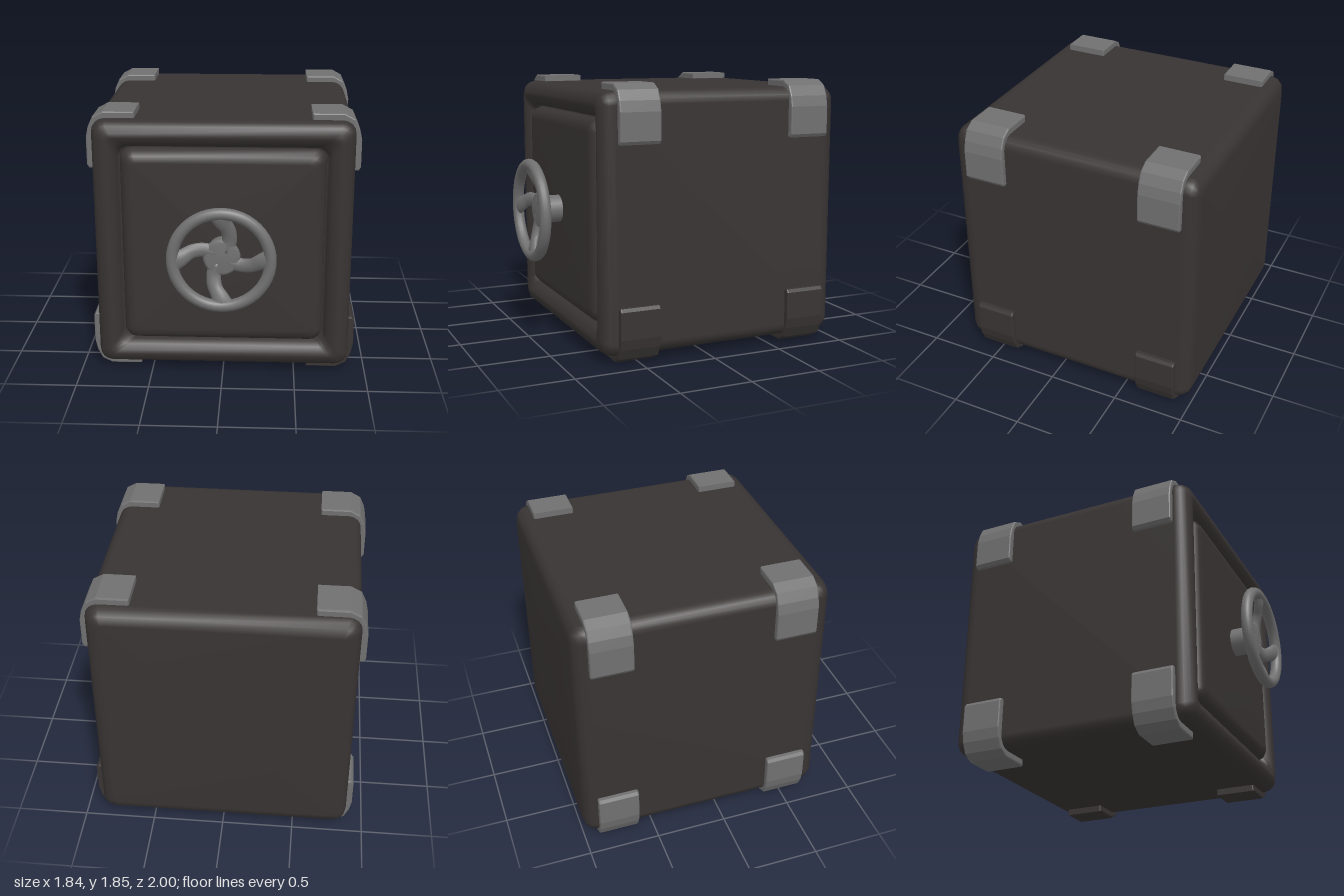
import * as THREE from 'three';

const DARK = 0x393434, METAL = 0x707070;
const CY = 0.925; // height of the safe's centre

const material = (color) => new THREE.MeshStandardMaterial({ color, roughness: 0.7 });

function addMesh(parent, name, geometry, mat) {
  const mesh = new THREE.Mesh(geometry, mat);
  mesh.name = name;
  parent.add(mesh);
  return mesh;
}

// Skin equal-length rings of Vector3, closing both ends with a centre point
function loft(rings) {
  const n = rings[0].length, pos = [], idx = [];
  rings.forEach((ring) => ring.forEach((p) => pos.push(p.x, p.y, p.z)));
  for (let i = 0; i < rings.length - 1; i++) {
    for (let j = 0; j < n; j++) {
      const a = i * n + j, b = i * n + (j + 1) % n;
      idx.push(a, b, b + n, a, b + n, a + n);
    }
  }
  [rings[0], rings[rings.length - 1]].forEach((ring, end) => {
    const c = ring.reduce((s, p) => s.add(p), new THREE.Vector3()).divideScalar(n);
    const ci = pos.length / 3, base = end * (rings.length - 1) * n;
    pos.push(c.x, c.y, c.z);
    for (let j = 0; j < n; j++) {
      const a = base + j, b = base + (j + 1) % n;
      idx.push(...(end ? [ci, a, b] : [ci, b, a]));
    }
  });
  const geo = new THREE.BufferGeometry();
  geo.setAttribute('position', new THREE.Float32BufferAttribute(pos, 3));
  geo.setIndex(idx);
  geo.computeVertexNormals();
  return geo;
}

// Rounded square ring facing z, counter-clockwise from the front
function squareRing(half, r, z, steps = 4) {
  const ring = [];
  for (let c = 0; c < 4; c++) {
    const mid = (c + 0.5) * Math.PI / 2;
    const cx = Math.sign(Math.cos(mid)) * (half - r), cy = Math.sign(Math.sin(mid)) * (half - r);
    for (let s = 0; s <= steps; s++) {
      const a = (c + s / steps) * Math.PI / 2;
      ring.push(new THREE.Vector3(cx + r * Math.cos(a), CY + cy + r * Math.sin(a), z));
    }
  }
  return ring;
}

// Curved spoke: elliptical sections that flare into the rim
function spokeGeometry() {
  const path = new THREE.CatmullRomCurve3([
    new THREE.Vector3(0.03, 0.04, 0.895),
    new THREE.Vector3(0.052, 0.12, 0.898),
    new THREE.Vector3(0.045, 0.2, 0.92),
    new THREE.Vector3(0.005, 0.275, 0.95),
    new THREE.Vector3(-0.01, 0.325, 0.96),
  ]);
  const rings = [], steps = 14, sides = 12;
  for (let i = 0; i <= steps; i++) {
    const t = i / steps, p = path.getPoint(t), d = path.getTangent(t);
    const side = new THREE.Vector3(d.y, -d.x, 0).normalize();
    const up = new THREE.Vector3().crossVectors(side, d);
    const w = 0.05 + 0.035 * Math.max(0, (t - 0.55) / 0.45) ** 1.5, h = 0.03;
    const ring = [];
    for (let j = 0; j < sides; j++) {
      const a = -j / sides * Math.PI * 2;
      ring.push(p.clone().addScaledVector(side, w * Math.cos(a)).addScaledVector(up, h * Math.sin(a)));
    }
    rings.push(ring);
  }
  return loft(rings);
}

// L-shaped corner guard wrapped round a long edge of the body
function bracketGeometry(sx, sy) {
  const b = 0.01;
  const outline = [
    [0.6, 0.915], [0.8, 0.915], [0.865, 0.88], [0.895, 0.815], [0.91, 0.745], [0.91, 0.56], [0.9, 0.545],
    [0.88, 0.545], [0.87, 0.56], [0.87, 0.78], [0.84, 0.84], [0.78, 0.87], [0.61, 0.87], [0.6, 0.885],
  ];
  const shape = new THREE.Shape(outline.map(([x, y]) => new THREE.Vector2(x * sx, y * sy)));
  return new THREE.ExtrudeGeometry(shape, {
    depth: 0.29 - 2 * b, bevelThickness: b, bevelSize: b, bevelSegments: 2,
  }).translate(0, CY, b);
}

export function createModel() {
  const group = new THREE.Group();
  const dark = material(DARK), metal = material(METAL);

  // Shell, raised frame, groove and door: [half size, corner radius, z]
  const profile = [
    [0.78, 0.02, -1], [0.84, 0.06, -0.98], [0.87, 0.085, -0.945], [0.88, 0.09, -0.9],
    [0.88, 0.09, 0.66], [0.87, 0.085, 0.705], [0.845, 0.07, 0.74], [0.8, 0.05, 0.76],
    [0.77, 0.05, 0.757], [0.73, 0.06, 0.735], [0.705, 0.075, 0.7], [0.695, 0.08, 0.65],
  ];
  addMesh(group, 'body', loft(profile.map((p) => squareRing(...p))), dark);
  const door = [
    [0.695, 0.08, 0.64], [0.69, 0.08, 0.68], [0.675, 0.07, 0.72], [0.645, 0.05, 0.745], [0.6, 0.03, 0.755],
  ];
  addMesh(group, 'door', loft(door.map((p) => squareRing(...p))), dark);

  // Corner guards, the lower pair on the model's left being dark
  for (const sx of [-1, 1]) {
    for (const sy of [-1, 1]) {
      for (const z of [0.36, -0.9]) {
        const mat = sx > 0 && sy < 0 ? dark : metal;
        addMesh(group, 'cornerBracket', bracketGeometry(sx, sy), mat).position.z = z;
      }
    }
  }

  // Handwheel on its shaft
  const wheel = new THREE.Group();
  wheel.name = 'handwheel';
  wheel.position.y = CY;
  group.add(wheel);
  addMesh(wheel, 'shaft', new THREE.CylinderGeometry(0.097, 0.097, 0.17, 24).rotateX(Math.PI / 2), metal)
    .position.z = 0.795;
  const hub = [[0, 0.86], [0.1, 0.86], [0.12, 0.872], [0.127, 0.89], [0.122, 0.912], [0.105, 0.923], [0, 0.925]]
    .map(([r, y]) => new THREE.Vector2(r, y));
  addMesh(wheel, 'hub', new THREE.LatheGeometry(hub, 28).rotateX(Math.PI / 2), metal);
  addMesh(wheel, 'rim', new THREE.TorusGeometry(0.326, 0.04, 14, 48), metal).position.z = 0.96;
  const spoke = spokeGeometry();
  for (let i = 0; i < 4; i++) addMesh(wheel, 'spoke', spoke, metal).rotation.z = i * Math.PI / 2;

  return group;
}
